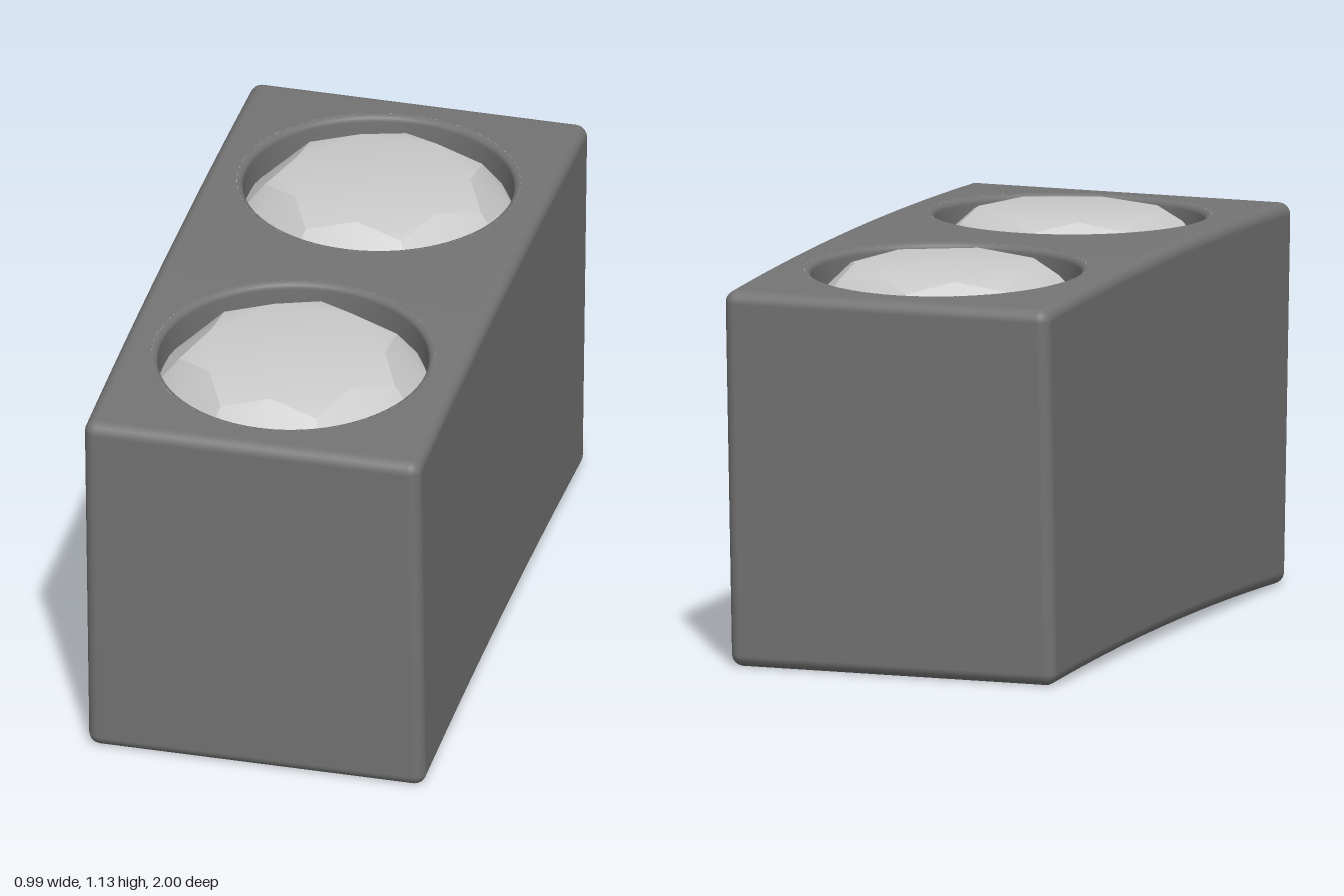
import * as THREE from 'three';
import { toCreasedNormals } from 'three/addons/utils/BufferGeometryUtils.js';

const TOP = 1.12, BOTTOM = 0.024, HALF_X = 0.495, HALF_Z = 1;
const ROUND = 0.035, BEND = 20, SEG_X = 4, SEG_Z = 24;
const HOLE = 0.387, LIP = 0.018, HOLE_Z = 0.5;
const CORE_X = HALF_X - ROUND, CORE_Z = HALF_Z - ROUND;

// Bends a straight geometry along z into a slight arch, normals included
function bend(geo) {
  const p = geo.attributes.position, n = geo.attributes.normal;
  for (let i = 0; i < p.count; i++) {
    const a = p.getZ(i) / BEND, s = Math.sin(a), c = Math.cos(a);
    const r = BEND + p.getY(i) - TOP, ny = n.getY(i), nz = n.getZ(i);
    p.setXYZ(i, p.getX(i), r * c - BEND + TOP, r * s);
    n.setXYZ(i, n.getX(i), ny * c - nz * s, ny * s + nz * c);
  }
  return geo;
}

// Side walls with rounded edges and corners, lofted from loops
function wallGeometry() {
  const corners = [[1, 1], [-1, 1], [-1, -1], [1, -1]], steps = 6;
  const outline = [];
  corners.forEach(([sx, sz], k) => {
    for (let i = 0; i <= steps; i++) {
      const a = (k + i / steps) * Math.PI / 2;
      outline.push([sx * CORE_X, sz * CORE_Z, Math.cos(a), Math.sin(a)]);
    }
    const [tx, tz] = corners[(k + 1) % 4], [, , dx, dz] = outline.at(-1);
    const count = k % 2 ? SEG_Z : SEG_X;
    for (let i = 1; i < count; i++) {
      const t = i / count;
      outline.push([CORE_X * (sx + (tx - sx) * t), CORE_Z * (sz + (tz - sz) * t), dx, dz]);
    }
  });
  outline.push(outline[0]);

  const rows = [];
  for (let i = 0; i <= steps; i++) rows.push([BOTTOM + ROUND, (i / steps - 1) * Math.PI / 2]);
  for (let i = 0; i <= steps; i++) rows.push([TOP - ROUND, (i / steps) * Math.PI / 2]);

  const pos = [], nor = [], index = [], w = outline.length;
  rows.forEach(([y, phi], j) => {
    const c = Math.cos(phi), s = Math.sin(phi);
    outline.forEach(([x, z, dx, dz], i) => {
      pos.push(x + ROUND * c * dx, y + ROUND * s, z + ROUND * c * dz);
      nor.push(c * dx, s, c * dz);
      if (j < rows.length - 1 && i < w - 1) {
        const a = j * w + i;
        index.push(a, a + w, a + 1, a + 1, a + w, a + w + 1);
      }
    });
  });
  const geo = new THREE.BufferGeometry();
  geo.setAttribute('position', new THREE.Float32BufferAttribute(pos, 3));
  geo.setAttribute('normal', new THREE.Float32BufferAttribute(nor, 3));
  geo.setIndex(index);
  return geo;
}

// Flat top with two round openings
function topGeometry() {
  const shape = new THREE.Shape();
  shape.moveTo(-CORE_X, -CORE_Z);
  for (let i = 0; i <= SEG_Z; i++) shape.lineTo(CORE_X, CORE_Z * (2 * i / SEG_Z - 1));
  for (let i = 0; i < SEG_Z; i++) shape.lineTo(-CORE_X, CORE_Z * (1 - 2 * i / SEG_Z));
  for (const s of [-1, 1]) {
    const hole = new THREE.Path();
    hole.absarc(0, s * HOLE_Z, HOLE + LIP, 0, Math.PI * 2, true);
    shape.holes.push(hole);
  }
  return new THREE.ShapeGeometry(shape, 64).rotateX(-Math.PI / 2).translate(0, TOP, 0);
}

// Socket wall with a softened lip
function socketGeometry() {
  const profile = [];
  for (let i = 0; i <= 5; i++) {
    const a = i / 5 * Math.PI / 2;
    profile.push(new THREE.Vector2(HOLE + LIP - LIP * Math.sin(a), TOP - LIP + LIP * Math.cos(a)));
  }
  profile.push(new THREE.Vector2(HOLE, TOP - 0.04), new THREE.Vector2(HOLE, TOP - 0.14));
  return new THREE.LatheGeometry(profile, 64);
}

// Seven-fold faceted crown: table, star, kite and girdle facets
function gemGeometry() {
  const N = 7, half = Math.PI / N, rTable = 0.262, rMid = 0.325, rGirdle = 0.4;
  const yTable = 1.132, yGirdle = 1.01;
  const yMid = yTable - (yTable - yGirdle) * (rMid * Math.cos(half) - rTable) / (rGirdle - rTable);
  const at = (r, y, k) => [r * Math.sin(k * half), y, r * Math.cos(k * half)];
  const pos = [];
  const tri = (...points) => points.forEach((p) => pos.push(...p));
  for (let k = 0; k < 2 * N; k += 2) {
    const t0 = at(rTable, yTable, k), t1 = at(rTable, yTable, k + 2);
    const m0 = at(rMid, yMid, k - 1), m1 = at(rMid, yMid, k + 1);
    const g0 = at(rGirdle, yGirdle, k), g1 = at(rGirdle, yGirdle, k + 1), g2 = at(rGirdle, yGirdle, k + 2);
    tri([0, yTable, 0], t0, t1);
    tri(t0, m1, t1);
    tri(t0, m0, g0);
    tri(t0, g0, m1);
    tri(m1, g0, g1);
    tri(m1, g1, g2);
  }
  const geo = new THREE.BufferGeometry();
  geo.setAttribute('position', new THREE.Float32BufferAttribute(pos, 3));
  geo.computeVertexNormals();
  return toCreasedNormals(geo, 0.35);
}

export function createModel() {
  const model = new THREE.Group();
  model.name = 'twinGemBlock';
  const dark = new THREE.MeshStandardMaterial({ color: 0x747474 });
  const light = new THREE.MeshStandardMaterial({ color: 0xcccccc });
  const add = (name, geo, material) => {
    const mesh = new THREE.Mesh(bend(geo), material);
    mesh.name = name;
    model.add(mesh);
  };

  add('blockSides', wallGeometry(), dark);
  add('blockTop', topGeometry(), dark);
  add('blockBottom', new THREE.PlaneGeometry(2 * CORE_X, 2 * CORE_Z, SEG_X, SEG_Z)
    .rotateX(Math.PI / 2).translate(0, BOTTOM, 0), dark);

  for (const [side, s] of [['front', 1], ['back', -1]]) {
    add(side + 'Socket', socketGeometry().translate(0, 0, s * HOLE_Z), dark);
    add(side + 'Gem', gemGeometry().translate(0, 0, s * HOLE_Z), light);
  }
  return model;
}
